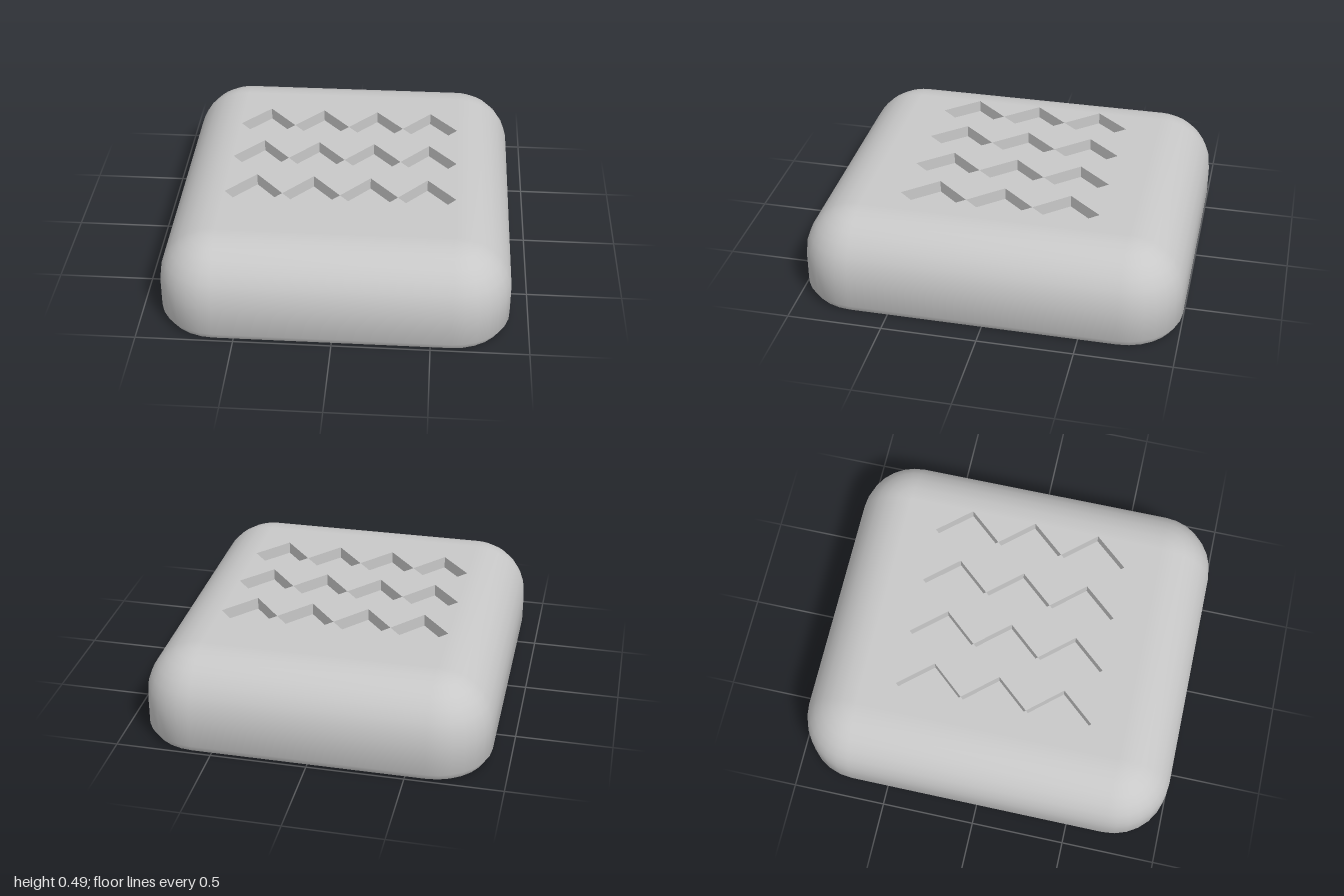
import * as THREE from 'three';
import { toCreasedNormals } from 'three/addons/utils/BufferGeometryUtils.js';

const HALF_X = 0.904, HALF_Z = 1, HEIGHT = 0.485, CORNER = 0.3, ROUND = 0.285;
const PIT_X = 0.152, PIT_Z = 0.176, PIT_DEPTH = 0.065;
const TOP_INSET = ROUND + 0.004;
const MOUTH_INSET = 0.18, CAVITY_INSET = 0.23, CAVITY_TOP = 0.24;

// Rounded rectangle, inset from the outer plan, at height y
function ring(inset, y, steps = 7) {
  const r = CORNER - inset;
  const cx = HALF_X - CORNER, cz = HALF_Z - CORNER;
  const loop = [];
  [[1, 1], [-1, 1], [-1, -1], [1, -1]].forEach(([sx, sz], q) => {
    for (let i = 0; i <= steps; i++) {
      const a = (q + i / steps) * Math.PI / 2;
      loop.push([sx * cx + r * Math.cos(a), y, sz * cz + r * Math.sin(a)]);
    }
  });
  return loop;
}

// Skin a list of equal-length closed loops
function loft(loops) {
  const pos = [];
  for (let k = 0; k < loops.length - 1; k++) {
    const p = loops[k], q = loops[k + 1];
    for (let i = 0; i < p.length; i++) {
      const j = (i + 1) % p.length;
      pos.push(...p[i], ...p[j], ...q[i], ...p[j], ...q[j], ...q[i]);
    }
  }
  const geo = new THREE.BufferGeometry();
  geo.setAttribute('position', new THREE.Float32BufferAttribute(pos, 3));
  return toCreasedNormals(geo, 0.75);
}

// Collapse a loop to its centre, to close a loft
const centre = (loop, x, y, z) => loop.map(() => [x, y, z]);

// Diamond outline, wound so that its walls face inward
const diamond = (x, y, z, s = 0.998) => [
  [x + PIT_X * s, y, z], [x, y, z - PIT_Z * s], [x - PIT_X * s, y, z], [x, y, z + PIT_Z * s],
];

export function createModel() {
  const model = new THREE.Group();
  model.name = 'roundedBlock';
  const grey = new THREE.MeshStandardMaterial({ color: 0xc8c8c8 });
  grey.name = 'grey';
  const add = (name, geo, parent = model) => {
    const mesh = new THREE.Mesh(geo, grey);
    mesh.name = name;
    parent.add(mesh);
  };

  // Outer shell: rounded shoulder, straight wall, chamfered foot
  const shell = [ring(TOP_INSET, HEIGHT)];
  for (let i = 0; i <= 7; i++) {
    const a = (i / 7) * Math.PI / 2;
    shell.push(ring(ROUND * (1 - Math.sin(a)), HEIGHT - ROUND * (1 - Math.cos(a))));
  }
  shell.push(ring(0, 0.04), ring(0.025, 0));
  add('shell', loft(shell));

  // Flat rim it stands on, and the chamfered mouth of the cavity
  add('rim', loft([ring(0.025, 0), ring(MOUTH_INSET, 0)]));
  add('cavityMouth', loft([ring(MOUTH_INSET, 0), ring(CAVITY_INSET, 0.03)]));

  // Upright cavity walls and flat ceiling
  const ceiling = ring(CAVITY_INSET, CAVITY_TOP);
  add('cavityWall', loft([ring(CAVITY_INSET, 0.03), ceiling]));
  add('cavityCeiling', loft([ceiling, centre(ceiling, 0, CAVITY_TOP, 0)]));

  // Flat top pierced by a grid of diamonds, each with a shallow pit below
  const top = new THREE.Shape(ring(TOP_INSET, 0).map(([x, , z]) => new THREE.Vector2(x, -z)));
  const pits = new THREE.Group();
  pits.name = 'diamondPits';
  model.add(pits);
  for (let col = 0; col < 4; col++) {
    for (let row = 0; row < 3; row++) {
      const x = (col - 1.5) * 2 * PIT_X, z = (row - 1) * 2 * PIT_Z;
      const y = HEIGHT - PIT_DEPTH;
      const mouth = diamond(x, HEIGHT, z);
      const floor = diamond(x, y, z);
      top.holes.push(new THREE.Path(mouth.map((p) => new THREE.Vector2(p[0], -p[2]))));
      add('diamondPit', loft([mouth, floor, centre(floor, x, y, z)]), pits);
    }
  }
  const topGeo = new THREE.ShapeGeometry(top);
  topGeo.rotateX(-Math.PI / 2).translate(0, HEIGHT, 0);
  add('topFace', topGeo);

  return model;
}
